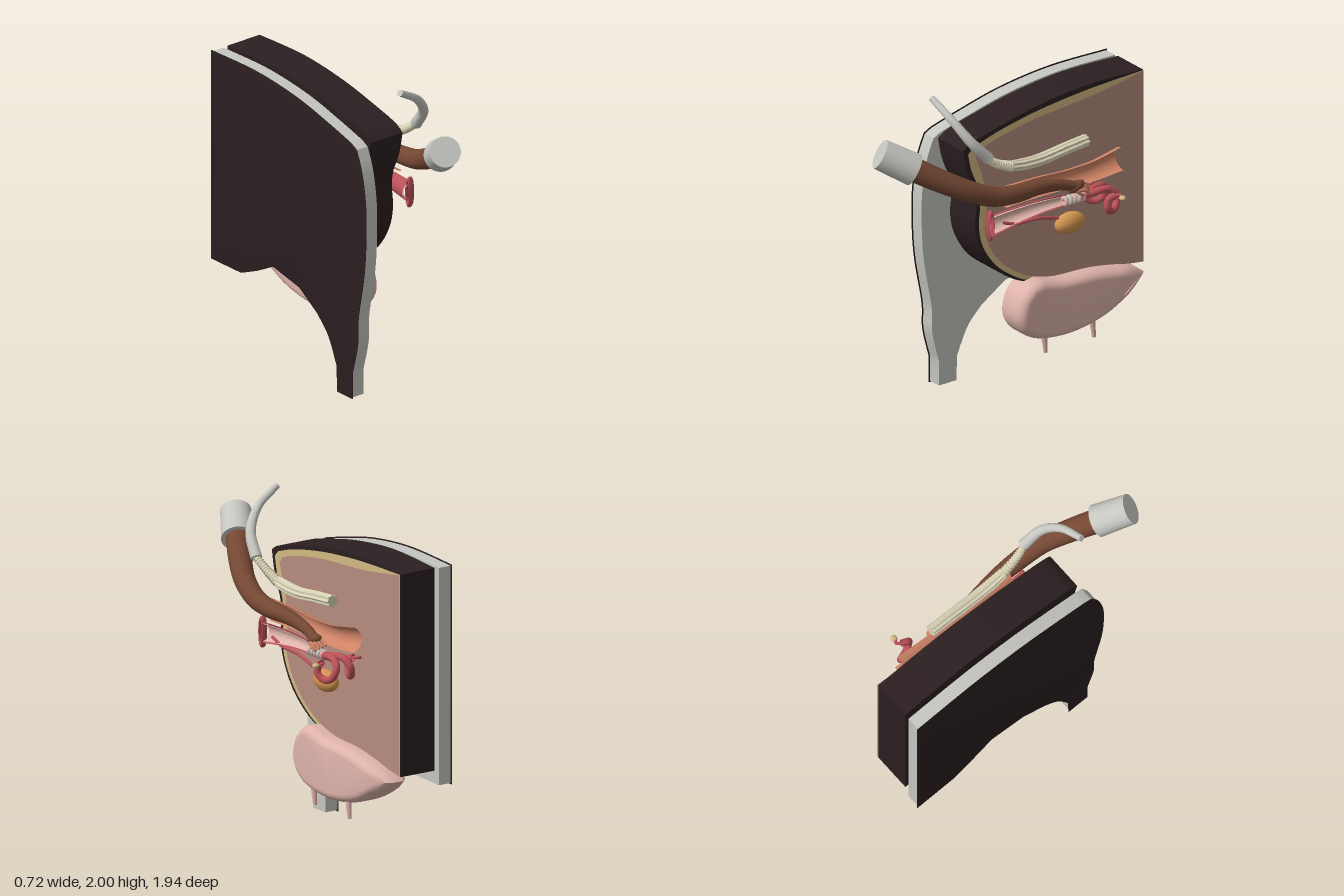
import * as THREE from 'three';
import { toCreasedNormals } from 'three/addons/utils/BufferGeometryUtils.js';

const mat = (name, color, side = THREE.FrontSide) => {
  const m = new THREE.MeshStandardMaterial({ color, side });
  m.name = name;
  return m;
};

export function createModel() {
  const model = new THREE.Group();
  const D = THREE.DoubleSide;
  const hide = mat('dark hide', 0x2b1f21);
  const grey = mat('light grey', 0xc6c6c1);
  const fat = mat('tan fat', 0xd2b983, D);
  const flesh = mat('inner flesh', 0xb68d7d, D);
  const pink = mat('udder pink', 0xdeb3aa, D);
  const skin = mat('arm brown', 0x744733);
  const salmon = mat('salmon', 0xcf8366, D);
  const red = mat('organ red', 0xbb5158, D);
  const cream = mat('bone cream', 0xd8d2b4);
  const orange = mat('bladder orange', 0xd2944f);

  const add = (name, geo, material, parent = model) => {
    const m = new THREE.Mesh(geo, material);
    m.name = name;
    parent.add(m);
    return m;
  };
  const V = (a) => new THREE.Vector3(...a);

  // Side outline from runs of [-z, y] points; each run is smooth, corners between runs stay sharp
  const outline = (...runs) => {
    const pts = [];
    for (const run of runs) {
      const v = run.map((p) => new THREE.Vector2(...p));
      pts.push(...(v.length > 2 ? new THREE.SplineCurve(v).getPoints(v.length * 5) : v));
    }
    return new THREE.Shape(pts.filter((p, i) => i === 0 || p.distanceTo(pts[i - 1]) > 1e-4));
  };
  // Side slab running from x0 to x0 + depth
  const slab = (shape, x0, depth, bevel = {}) =>
    toCreasedNormals(new THREE.ExtrudeGeometry(shape, { depth, bevelEnabled: false, ...bevel })
      .rotateY(Math.PI / 2).translate(x0, 0, 0), 0.5);
  const face = (shape, x) => new THREE.ShapeGeometry(shape).rotateY(Math.PI / 2).translate(x, 0, 0);

  // Tapered tube through points [x, y, z, radius]; a partial arc leaves an open shell
  const sweep = (pts, { steps = 32, sides = 20, start = 0, arc = Math.PI * 2, rib = 0, knob = 0 } = {}) => {
    const curve = new THREE.CatmullRomCurve3(pts.map((p) => V(p.slice(0, 3))));
    const closed = arc > 6.28, pos = [], idx = [];
    const ring = (t, scale) => {
      const f = t * (pts.length - 1), k = Math.min(Math.floor(f), pts.length - 2);
      const r = THREE.MathUtils.lerp(pts[k][3], pts[k + 1][3], f - k) * scale * (1 + knob * Math.sin(t * 75));
      const c = curve.getPoint(t), tan = curve.getTangent(t);
      const side = new THREE.Vector3().crossVectors(tan, V([0, 1, 0])).normalize();
      const up = new THREE.Vector3().crossVectors(side, tan);
      for (let j = 0; j <= sides; j++) {
        const a = start + arc * j / sides, q = r * (1 + rib * Math.cos(a * 8));
        const p = c.clone().addScaledVector(side, q * Math.cos(a)).addScaledVector(up, q * Math.sin(a));
        pos.push(p.x, p.y, p.z);
      }
    };
    if (closed) ring(0, 0.001);
    for (let i = 0; i <= steps; i++) ring(i / steps, 1);
    if (closed) ring(1, 0.001);
    const n = sides + 1, rings = pos.length / 3 / n;
    for (let i = 0; i < rings - 1; i++) for (let j = 0; j < sides; j++) {
      const a = i * n + j, b = a + n;
      idx.push(a, b, a + 1, a + 1, b, b + 1);
    }
    const g = new THREE.BufferGeometry();
    g.setAttribute('position', new THREE.Float32BufferAttribute(pos, 3));
    g.setIndex(idx);
    return toCreasedNormals(g, 0.9);
  };
  const tube = (pts, r, seg = 40) =>
    new THREE.TubeGeometry(new THREE.CatmullRomCurve3(pts.map(V)), seg, r, 12);
  const ball = (name, p, s, material, parent) => {
    const m = add(name, new THREE.SphereGeometry(1, 28, 18), material, parent);
    m.position.set(...p);
    m.scale.set(...s);
    return m;
  };

  // Backing plate with leg, and its dark outer face
  const plate = outline(
    [[-0.34, 0.01], [-0.21, 0.01]],
    [[-0.205, 0.17], [-0.125, 0.34], [-0.02, 0.45]],
    [[0.15, 0.56], [0.40, 0.61]],
    [[0.55, 0.53], [0.70, 0.465]],
    [[0.97, 0.46], [0.97, 1.80]],
    [[0.97, 1.80], [0.55, 1.81], [0.18, 1.775], [-0.12, 1.71], [-0.33, 1.655]],
    [[-0.38, 1.63], [-0.43, 1.5], [-0.465, 1.3], [-0.468, 1.07], [-0.45, 0.84], [-0.395, 0.54], [-0.39, 0.37], [-0.34, 0.17]],
  );
  add('backingPlate', slab(plate, -0.355, 0.085), grey);
  add('backingPlateOuterFace', slab(plate, -0.359, 0.002,
    { bevelEnabled: true, bevelThickness: 0.002, bevelSize: 0.008, bevelSegments: 1 }), hide);

  // Hindquarter block with thin cut-face layers
  add('bodyBlock', slab(outline(
    [[0.97, 0.555], [0.97, 1.805]],
    [[0.97, 1.805], [0.55, 1.82], [0.18, 1.785], [-0.12, 1.725], [-0.30, 1.68], [-0.37, 1.64]],
    [[-0.37, 1.64], [-0.34, 1.5], [-0.285, 1.37]],
    [[-0.285, 1.37], [-0.268, 1.27], [-0.28, 1.13], [-0.25, 0.99], [-0.16, 0.84], [-0.03, 0.73], [0.12, 0.66], [0.3, 0.635]],
    [[0.6, 0.61], [0.97, 0.555]],
  ), -0.24, 0.245), hide);
  add('fatLayer', face(outline(
    [[0.97, 0.557], [0.97, 1.803]],
    [[0.97, 1.803], [0.55, 1.79], [0.18, 1.755], [-0.12, 1.70], [-0.30, 1.645]],
    [[-0.335, 1.61], [-0.31, 1.5], [-0.258, 1.37], [-0.245, 1.25], [-0.255, 1.13], [-0.228, 0.99], [-0.14, 0.85], [-0.02, 0.745], [0.12, 0.67], [0.3, 0.64]],
    [[0.6, 0.612], [0.97, 0.557]],
  ), 0.008), fat);
  add('innerFlesh', face(outline(
    [[0.97, 0.558], [0.97, 1.80]],
    [[0.97, 1.80], [0.6, 1.745], [0.18, 1.712], [-0.10, 1.665], [-0.25, 1.62]],
    [[-0.28, 1.58], [-0.22, 1.4], [-0.2, 1.23], [-0.21, 1.07], [-0.15, 0.92], [-0.03, 0.79], [0.12, 0.70], [0.3, 0.647]],
    [[0.6, 0.613], [0.97, 0.558]],
  ), 0.012), flesh);

  // Udder: rounded slab, narrowed toward the rear, with teats
  const udderShape = outline(
    [[0.1, 0.625], [0.05, 0.57], [0.03, 0.47], [0.08, 0.39], [0.2, 0.345], [0.4, 0.335], [0.62, 0.38], [0.83, 0.49]],
    [[0.87, 0.515], [0.85, 0.525]],
    [[0.75, 0.55], [0.55, 0.585], [0.3, 0.60], [0.15, 0.635]],
  );
  const udder = new THREE.ExtrudeGeometry(udderShape, {
    depth: 0.1, bevelEnabled: true, bevelThickness: 0.065, bevelSize: 0.05, bevelSegments: 5,
  }).rotateY(Math.PI / 2).translate(-0.045, 0, 0);
  const up = udder.attributes.position;
  for (let i = 0; i < up.count; i++) {
    const k = THREE.MathUtils.clamp((-up.getZ(i) - 0.78) / 0.16, 0, 1);
    up.setX(i, 0.005 + (up.getX(i) - 0.005) * (1 - 0.35 * k));
  }
  add('udder', toCreasedNormals(udder, 0.8), pink);
  for (const z of [-0.18, -0.54]) {
    const teat = add('teat', new THREE.CylinderGeometry(0.021, 0.012, 0.14, 14), pink);
    teat.position.set(0.08, 0.28, z);
    teat.rotation.x = 0.1;
  }

  // Tail stump and ribbed spine
  add('tail', sweep([[-0.125, 1.98, 0.505, 0.02], [0.03, 1.885, 0.475, 0.025], [0.13, 1.76, 0.41, 0.031], [0.165, 1.63, 0.30, 0.036]]), grey);
  add('tailBones', sweep([[0.16, 1.635, 0.31, 0.022], [0.145, 1.57, 0.22, 0.026], [0.137, 1.52, 0.11, 0.031]], { steps: 60, knob: 0.12 }), cream);
  add('spine', sweep([[0.137, 1.525, 0.12, 0.03], [0.135, 1.51, 0.03, 0.034], [0.135, 1.505, -0.1, 0.034], [0.135, 1.525, -0.3, 0.034], [0.135, 1.538, -0.45, 0.034]],
    { sides: 64, rib: 0.14 }), cream);

  // Arm with cuff, palm and fingers
  const cuffA = V([-0.105, 1.732, 0.905]), cuffB = V([0.0, 1.62, 0.73]);
  const cuff = add('cuff', new THREE.CylinderGeometry(0.093, 0.1, cuffA.distanceTo(cuffB), 36), grey);
  cuff.position.copy(cuffA).add(cuffB).multiplyScalar(0.5);
  cuff.quaternion.setFromUnitVectors(V([0, 1, 0]), cuffA.clone().sub(cuffB).normalize());
  add('arm', sweep([[-0.01, 1.63, 0.745, 0.075], [0.08, 1.535, 0.59, 0.07], [0.15, 1.455, 0.44, 0.065], [0.18, 1.385, 0.28, 0.06],
    [0.185, 1.36, 0.11, 0.055], [0.175, 1.35, -0.06, 0.045], [0.172, 1.32, -0.23, 0.034], [0.185, 1.285, -0.34, 0.03]], { steps: 56, sides: 28 }), skin);
  ball('palm', [0.185, 1.285, -0.335], [0.034, 0.033, 0.06], skin).rotation.x = 0.3;
  for (let i = 0; i < 4; i++) {
    const x = 0.165 + i * 0.016, y = 1.302 - i * 0.011;
    add('finger', sweep([[x, y, -0.33, 0.011], [x + 0.008, y - 0.01, -0.38, 0.011], [x + 0.01, y - 0.035, -0.44 + i * 0.012, 0.007]], { steps: 10, sides: 10 }), salmon);
  }
  add('thumb', sweep([[0.2, 1.275, -0.31, 0.012], [0.212, 1.245, -0.345, 0.011], [0.21, 1.225, -0.375, 0.008]], { steps: 10, sides: 10 }), salmon);

  // Cut-open half pipes, hollow side toward +x
  const half = { start: Math.PI / 2, arc: Math.PI, sides: 18 };
  add('rectum', sweep([[0.165, 1.345, 0.17, 0.068], [0.165, 1.345, -0.05, 0.065], [0.165, 1.335, -0.28, 0.06], [0.167, 1.335, -0.48, 0.065], [0.17, 1.36, -0.69, 0.077]], half), salmon);
  const canal = [[0.155, 1.18, 0.26, 0.064], [0.155, 1.195, 0.1, 0.056], [0.155, 1.205, -0.1, 0.045], [0.155, 1.2, -0.28, 0.035]];
  add('birthCanalWall', sweep(canal, half), red);
  add('birthCanalLining', sweep(canal.map(([x, y, z, r]) => [x, y, z, r - 0.01]), half), pink);
  const lips = add('canalOpening', new THREE.TorusGeometry(0.08, 0.02, 14, 32).rotateY(Math.PI / 2), red);
  lips.scale.z = 0.22;
  lips.position.set(0.14, 1.18, 0.27);

  // Ringed neck of the womb
  for (let i = 0; i < 5; i++) {
    const ring = add('cervixRing', new THREE.TorusGeometry(0.02, 0.013, 10, 20), i % 2 ? grey : pink);
    ring.position.set(0.16, 1.197, -0.27 - i * 0.032);
  }
  add('wombBody', tube([[0.165, 1.197, -0.38], [0.168, 1.2, -0.46]], 0.022, 6), red);

  // Mirrored curled horns with ovaries
  const cx = 0.168;
  for (const s of [1, -1]) {
    const horn = new THREE.Group();
    horn.name = s > 0 ? 'leftHorn' : 'rightHorn';
    model.add(horn);
    const m = (x, y, z) => [cx + s * x, y, z];
    add('hornTube', tube([m(0, 1.2, -0.43), m(0.025, 1.215, -0.5), m(0.035, 1.21, -0.57), m(0.05, 1.17, -0.61), m(0.07, 1.11, -0.59),
      m(0.09, 1.095, -0.54), m(0.11, 1.13, -0.5), m(0.105, 1.185, -0.51), m(0.115, 1.2, -0.55)], 0.022, 60), red, horn);
    add('oviduct', tube([m(0.115, 1.2, -0.55), m(0.135, 1.205, -0.575), m(0.155, 1.2, -0.565)], 0.01, 16), red, horn);
    ball('ovary', m(0.168, 1.2, -0.565), [0.022, 0.015, 0.02], fat, horn);
  }

  // Bladder and its outlet
  ball('bladder', [0.11, 1.02, -0.345], [0.057, 0.067, 0.106], orange);
  add('bladderOutlet', tube([[0.14, 1.17, 0.17], [0.14, 1.14, 0.08], [0.135, 1.125, -0.1], [0.13, 1.085, -0.24]], 0.01), red);

  return model;
}
